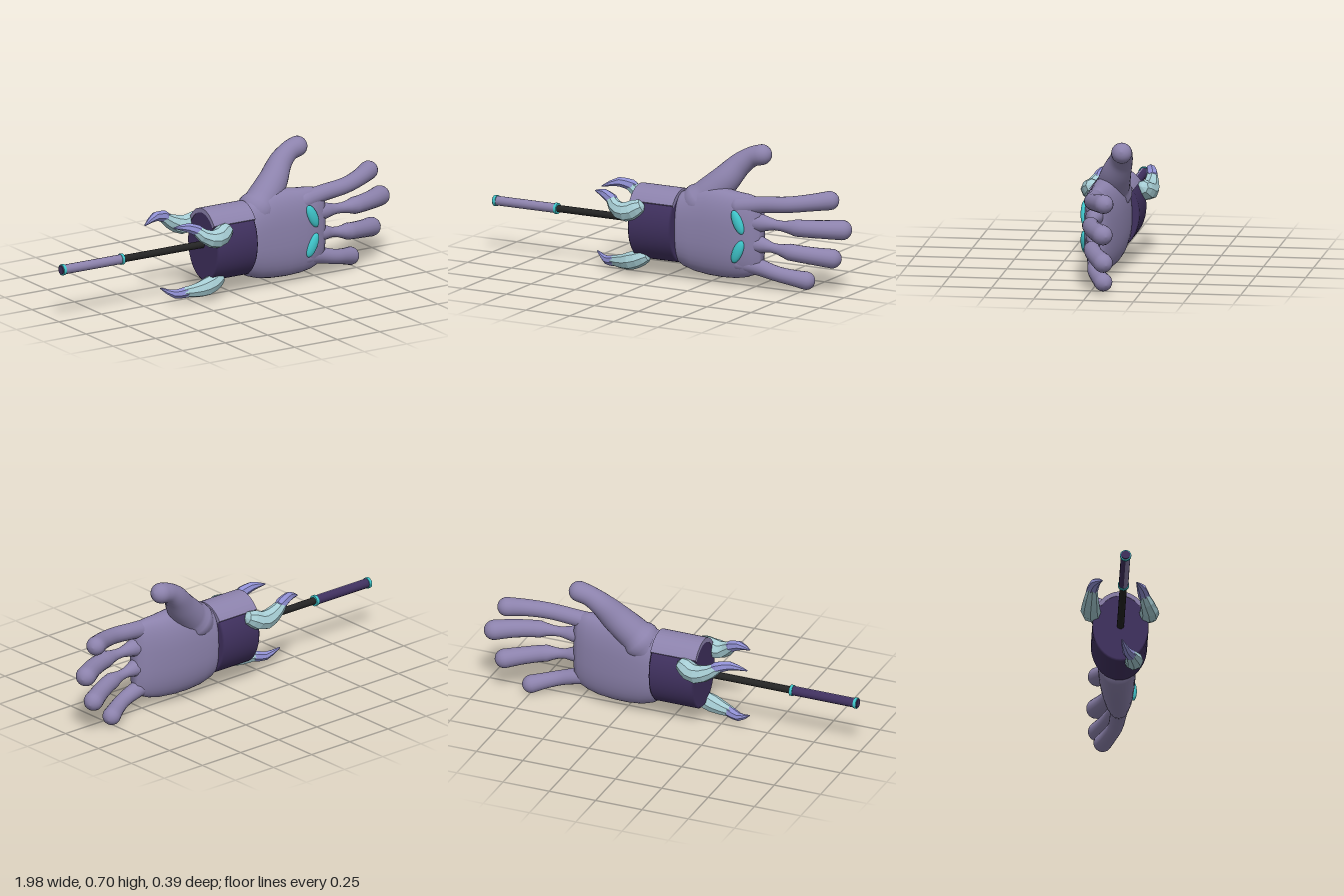
import * as THREE from 'three';

const mat = (name, color, extra = {}) => {
  const m = new THREE.MeshStandardMaterial({ color, ...extra });
  m.name = name;
  return m;
};

// Skin a list of point rings, closing both ends with a centre point
function skin(rings) {
  const n = rings[0].length, pos = [], idx = [];
  rings.forEach(r => r.forEach(p => pos.push(p.x, p.y, p.z)));
  for (let i = 0; i < rings.length - 1; i++) {
    for (let j = 0; j < n; j++) {
      const a = i * n + j, b = i * n + (j + 1) % n;
      idx.push(a, b, a + n, b, b + n, a + n);
    }
  }
  [0, rings.length - 1].forEach(k => {
    const c = new THREE.Vector3();
    rings[k].forEach(p => c.addScaledVector(p, 1 / n));
    const ci = pos.length / 3;
    pos.push(c.x, c.y, c.z);
    for (let j = 0; j < n; j++) {
      const a = k * n + j, b = k * n + (j + 1) % n;
      if (k === 0) idx.push(ci, b, a); else idx.push(ci, a, b);
    }
  });
  const g = new THREE.BufferGeometry();
  g.setAttribute('position', new THREE.Float32BufferAttribute(pos, 3));
  g.setIndex(idx);
  g.computeVertexNormals();
  return g;
}

// Round limb through points [x, y, z, radius] with domed ends
function limb(points, sides = 18, steps = 18, dome = 5) {
  const curve = new THREE.CatmullRomCurve3(points.map(p => new THREE.Vector3(p[0], p[1], p[2])));
  const radii = new THREE.CatmullRomCurve3(points.map(p => new THREE.Vector3(p[3], 0, 0)));
  const rings = [];
  const tangents = [];
  for (let i = 0; i <= steps; i++) tangents.push(curve.getTangent(i / steps));
  const add = (t, i, offset, scale) => {
    const c = curve.getPoint(t), T = tangents[i], r = radii.getPoint(t).x;
    const N = new THREE.Vector3(0, 1, 0).addScaledVector(T, -T.y).normalize();
    const B = new THREE.Vector3().crossVectors(T, N);
    c.addScaledVector(T, offset * r);
    rings.push(Array.from({ length: sides }, (_, j) => {
      const a = j / sides * Math.PI * 2;
      return c.clone().addScaledVector(N, Math.cos(a) * r * scale).addScaledVector(B, Math.sin(a) * r * scale);
    }));
  };
  for (let k = dome; k > 0; k--) {
    const a = k / dome * 1.5;
    add(0, 0, -Math.sin(a), Math.cos(a));
  }
  for (let i = 0; i <= steps; i++) add(i / steps, i, 0, 1);
  for (let k = 1; k <= dome; k++) {
    const a = k / dome * 1.5;
    add(1, steps, Math.sin(a), Math.cos(a));
  }
  return skin(rings);
}

// Oval section across x; power below 1 makes it boxier
function oval(x, y0, y1, zFront, zBack, power = 0.8, n = 40) {
  return Array.from({ length: n }, (_, j) => {
    const a = j / n * Math.PI * 2, c = Math.cos(a), s = Math.sin(a);
    const py = Math.sign(c) * Math.abs(c) ** power, pz = Math.sign(s) * Math.abs(s) ** power;
    return new THREE.Vector3(x, (y0 + y1) / 2 + py * (y1 - y0) / 2,
      (zFront + zBack) / 2 + pz * (zFront - zBack) / 2);
  });
}

export function createModel() {
  const mauve = mat('mauve', 0x8c82ac);
  const plum = mat('dark plum', 0x40315f);
  const pale = mat('pale teal', 0xa6cdd4, { flatShading: true });
  const violet = mat('claw violet', 0x8f8fd2, { flatShading: true });
  const cyan = mat('cyan', 0x3fc6cb);
  const black = mat('black', 0x242424);

  const model = new THREE.Group();
  const part = (name, geometry, material, parent = model) => {
    const m = new THREE.Mesh(geometry, material);
    m.name = name;
    parent.add(m);
    return m;
  };

  // Hand: palm, thumb and four fingers curling backwards
  const hand = new THREE.Group();
  hand.name = 'hand';
  model.add(hand);
  const sections = [
    [0.05, 0.10, 0.43, 0.085, -0.10], [0.10, 0.065, 0.45, 0.09, -0.105],
    [0.16, 0.045, 0.475, 0.09, -0.105], [0.24, 0.035, 0.49, 0.09, -0.10],
    [0.32, 0.033, 0.485, 0.09, -0.09], [0.40, 0.038, 0.475, 0.087, -0.075],
    [0.46, 0.05, 0.472, 0.08, -0.06], [0.51, 0.07, 0.462, 0.066, -0.042],
    [0.54, 0.10, 0.44, 0.045, -0.02]];
  part('palm', skin(sections.map(s => oval(...s))), mauve, hand);
  part('thumb', limb([[0.13, 0.35, -0.01, 0.085], [0.2, 0.42, -0.025, 0.085], [0.29, 0.51, -0.055, 0.075],
    [0.36, 0.592, -0.09, 0.059], [0.42, 0.635, -0.105, 0.051], [0.47, 0.65, -0.11, 0.052]], 24, 24), mauve, hand);
  const fingers = {
    indexFinger: [[0.42, 0.41, 0.025, 0.05], [0.54, 0.428, 0.015, 0.042], [0.68, 0.442, 0.005, 0.041],
      [0.79, 0.457, -0.035, 0.043], [0.872, 0.468, -0.082, 0.048]],
    middleFinger: [[0.42, 0.335, 0.025, 0.052], [0.56, 0.335, 0.015, 0.043], [0.73, 0.33, 0.005, 0.043],
      [0.85, 0.328, -0.035, 0.046], [0.94, 0.325, -0.085, 0.051]],
    ringFinger: [[0.42, 0.235, 0.025, 0.052], [0.55, 0.222, 0.015, 0.042], [0.69, 0.203, 0.005, 0.042],
      [0.8, 0.187, -0.035, 0.044], [0.886, 0.174, -0.08, 0.049]],
    littleFinger: [[0.42, 0.125, 0.025, 0.05], [0.52, 0.108, 0.012, 0.042], [0.62, 0.082, 0, 0.038],
      [0.69, 0.065, -0.028, 0.04], [0.75, 0.05, -0.06, 0.046]]
  };
  for (const [name, pts] of Object.entries(fingers)) part(name, limb(pts), mauve, hand);

  // Leaf-shaped gems on the back of the hand
  [[0.34, 1], [0.19, -1]].forEach(([y, side]) => {
    const gem = part('gem', new THREE.SphereGeometry(1, 20, 14), cyan, hand);
    gem.scale.set(0.027, 0.064, 0.018);
    gem.position.set(0.44, y, 0.082);
    gem.rotation.z = side * 0.42;
  });

  // Oval wrist cuff with a lighter band over its top
  const cy = 0.265;
  const cuffRing = (x, k) => oval(x, cy - 0.185 * k, cy + 0.185 * k, 0.14 * k, -0.14 * k, 1);
  const side = [[-0.155, 0.95], [-0.147, 1], [0.077, 1], [0.085, 0.95]].map(([x, k]) => cuffRing(x, k));
  part('cuff', skin(side), plum);
  [-0.1555, 0.0855].forEach((x, i) => {
    const face = part('cuffEnd', new THREE.CircleGeometry(1, 40), plum);
    face.scale.set(0.133, 0.176, 1);
    face.rotation.y = (i ? 1 : -1) * Math.PI / 2;
    face.position.set(x, cy, 0);
  });
  const band = new THREE.Shape();
  const half = 0.86, arc = 16;
  for (let i = 0; i <= arc; i++) {
    const a = half - 2 * half * i / arc;
    band[i ? 'lineTo' : 'moveTo'](Math.sin(a) * 0.146, Math.cos(a) * 0.191);
  }
  for (let i = 0; i <= arc; i++) {
    const a = -half + 2 * half * i / arc;
    band.lineTo(Math.sin(a) * 0.128, Math.cos(a) * 0.168);
  }
  const bandGeo = new THREE.ExtrudeGeometry(band, { depth: 0.244, bevelEnabled: false });
  bandGeo.rotateY(Math.PI / 2);
  part('cuffTopBand', bandGeo, mauve).position.set(-0.158, cy, 0);

  // Three clawed toes gripping the cuff
  const claws = {
    frontClaw: [[[-0.11, 0.36, 0.13, 0.045], [-0.155, 0.338, 0.143, 0.05], [-0.205, 0.343, 0.14, 0.042], [-0.265, 0.388, 0.112, 0.026]],
      [[-0.255, 0.384, 0.115, 0.03], [-0.305, 0.405, 0.1, 0.024], [-0.37, 0.407, 0.075, 0.004]]],
    backClaw: [[[-0.11, 0.36, -0.135, 0.045], [-0.165, 0.338, -0.148, 0.05], [-0.23, 0.355, -0.15, 0.042], [-0.3, 0.4, -0.145, 0.026]],
      [[-0.285, 0.397, -0.147, 0.03], [-0.35, 0.412, -0.13, 0.024], [-0.43, 0.387, -0.1, 0.004]]],
    lowerClaw: [[[-0.11, 0.095, 0.06, 0.04], [-0.165, 0.073, 0.068, 0.046], [-0.22, 0.06, 0.062, 0.038], [-0.285, 0.055, 0.045, 0.026]],
      [[-0.275, 0.055, 0.047, 0.029], [-0.335, 0.048, 0.025, 0.022], [-0.4, 0.08, 0, 0.004]]]
  };
  for (const [name, [toe, nail]] of Object.entries(claws)) {
    const g = new THREE.Group();
    g.name = name;
    model.add(g);
    part('toe', limb(toe, 8, 5, 2), pale, g);
    part('nail', limb(nail, 7, 4, 2), violet, g);
  }

  // Rod with a two-tone grip and bright rings
  const rod = (name, x0, x1, r, material, start = 0, sweep = Math.PI * 2, open = false) => {
    const g = new THREE.CylinderGeometry(r, r, x1 - x0, sweep < 6 ? 8 : 16, 1, open, start, sweep);
    g.rotateZ(Math.PI / 2);
    return part(name, g, material).position.set((x0 + x1) / 2, 0.27, 0);
  };
  rod('shaft', -0.64, -0.14, 0.018, black);
  rod('gripFront', -0.985, -0.63, 0.024, mauve, -Math.PI / 2, Math.PI);
  rod('gripBack', -0.985, -0.63, 0.024, plum, Math.PI / 2, Math.PI);
  rod('endRing', -0.985, -0.97, 0.028, cyan);
  rod('innerRing', -0.64, -0.625, 0.028, cyan);
  rod('endCap', -0.99, -0.98, 0.022, plum);
  return model;
}
